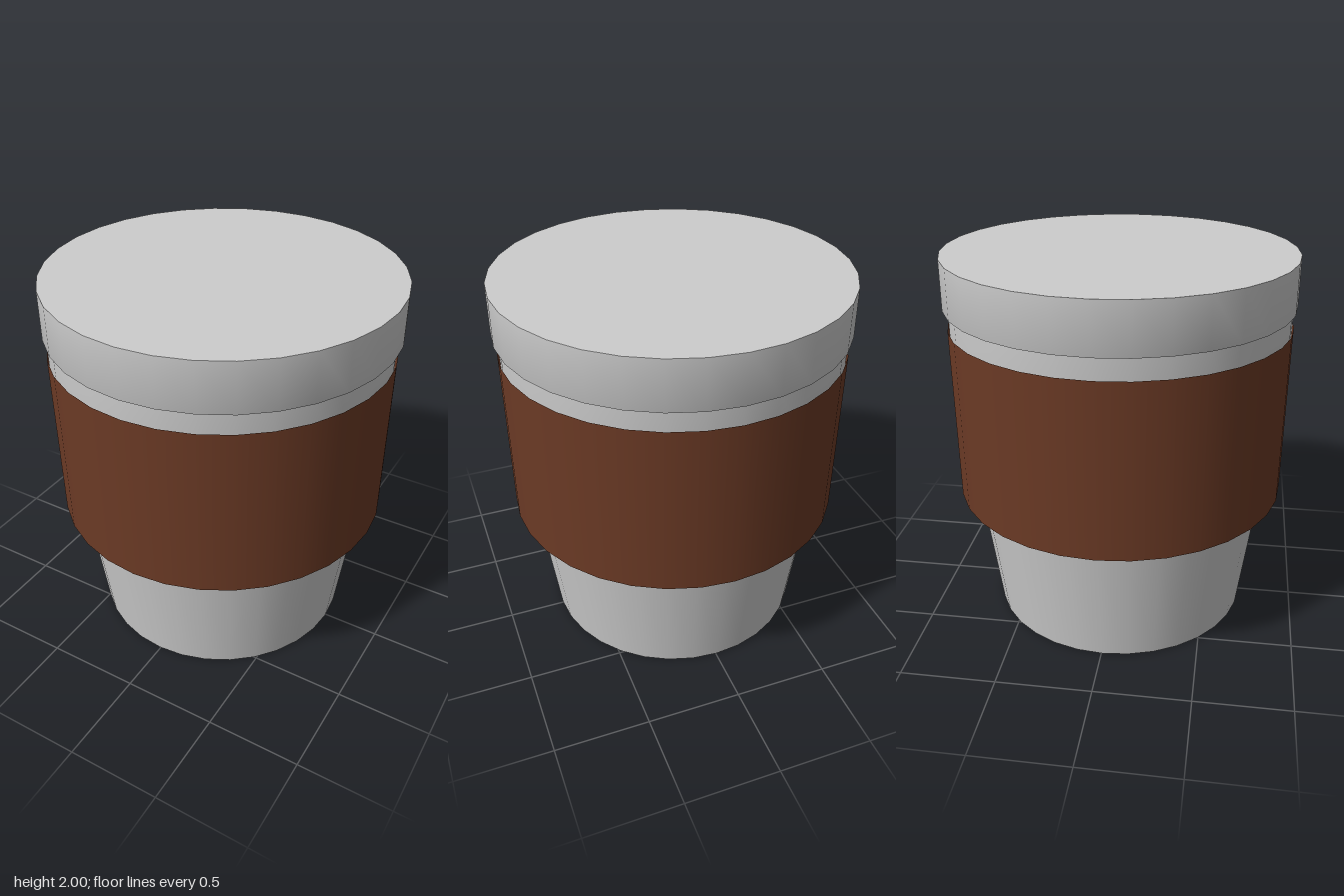
import * as THREE from 'three';

const SIDES = 32;

export function createModel() {
  const group = new THREE.Group();
  const grey = new THREE.MeshStandardMaterial({ color: 0xcccccc });
  grey.name = 'light grey';
  const brown = new THREE.MeshStandardMaterial({ color: 0x6b3a25, side: THREE.DoubleSide });
  brown.name = 'brown';

  const add = (name, geometry, material, x = 0, y = 0, z = 0) => {
    const mesh = new THREE.Mesh(geometry, material);
    mesh.name = name;
    mesh.position.set(x, y, z);
    group.add(mesh);
    return mesh;
  };
  // Revolved wall from [radius, height] pairs, listed bottom to top
  const wall = (points) =>
    new THREE.LatheGeometry(points.map(([r, y]) => new THREE.Vector2(r, y)), SIDES);
  const disc = (radius) => new THREE.CircleGeometry(radius, SIDES);

  // Tapered cup, straight near the rim, with a flat base
  add('cupBody', wall([[0.697, 0], [0.79, 0.7], [0.885, 1.38], [0.89, 1.76]]), grey, -0.005, 0, 0.005);
  add('cupBase', disc(0.697), grey, -0.005, 0, 0.005).rotation.x = Math.PI / 2;

  // Thin sleeve, open below where the cup narrows
  add('sleeve', wall([[0.888, 0.705], [0.898, 1.63]]), brown, -0.004, 0, 0.004);

  // Lid with a softly shaded lower edge and a flat top
  add('lidSide', wall([[0.86, 1.74], [0.914, 1.74], [0.914, 2]]), grey);
  add('lidTop', disc(0.914), grey, 0, 2, 0).rotation.x = -Math.PI / 2;

  return group;
}
